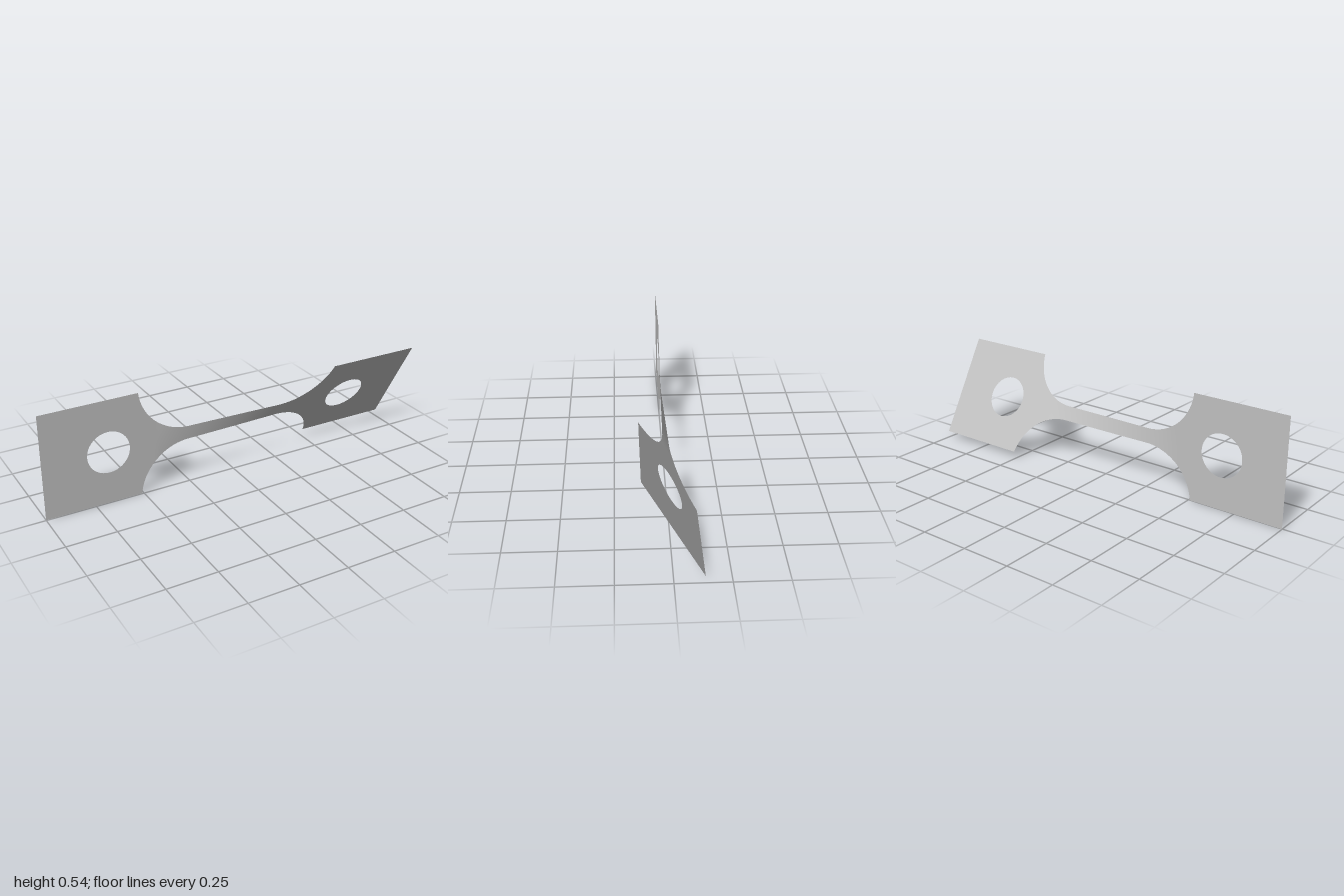
import * as THREE from 'three';

const HALF = 0.271;       // half height of the end plates
const NECK = 0.037;       // half height of the neck
const MID = 0.272;        // height of the long axis
const R = 0.26;           // fillet radius
const X0 = 0.25;          // where the fillets begin
const T_MAX = Math.acos((R - (HALF - NECK)) / R);
const X1 = X0 + R * Math.sin(T_MAX); // where the plates begin

// Twist angle about the long axis: flat left end, steady twist, tilted right end
function twist(x) {
  const t = THREE.MathUtils.clamp((x + 0.42) / 0.77, 0, 1);
  return THREE.MathUtils.degToRad(0.7 + 28.8 * t);
}

function applyTwist(geometry) {
  const p = geometry.attributes.position;
  for (let i = 0; i < p.count; i++) {
    const x = p.getX(i), y = p.getY(i), a = twist(x);
    p.setXYZ(i, x, MID + y * Math.cos(a), y * Math.sin(a));
  }
  geometry.computeVertexNormals();
  return geometry;
}

// Square end plate with a round hole
function endPlate(side) {
  const a = Math.min(side * X1, side), b = Math.max(side * X1, side);
  const shape = new THREE.Shape();
  shape.moveTo(a, -HALF).lineTo(b, -HALF).lineTo(b, HALF).lineTo(a, HALF).closePath();
  const hole = new THREE.Path();
  hole.absarc(side * 0.67, 0, 0.108, 0, Math.PI * 2, true);
  shape.holes.push(hole);
  return applyTwist(new THREE.ShapeGeometry(shape, 32));
}

// Twisted neck with fillets, from [x, half height] stations
function neck() {
  const right = [];
  const n = 24;
  for (let i = 0; i < 16; i++) right.push([X0 * i / 16, NECK]);
  for (let i = 0; i <= n; i++) {
    const t = T_MAX * i / n;
    right.push([X0 + R * Math.sin(t), NECK + R * (1 - Math.cos(t))]);
  }
  const left = right.slice(1).reverse().map(([x, h]) => [-x, h]);
  const stations = [...left, ...right];
  const cols = stations.length, rows = 8;
  const g = new THREE.PlaneGeometry(2, 2, cols - 1, rows);
  const p = g.attributes.position;
  for (let i = 0; i < p.count; i++) {
    const [x, h] = stations[i % cols];
    p.setXY(i, x, p.getY(i) * h);
  }
  return applyTwist(g);
}

export function createModel() {
  const metal = new THREE.MeshStandardMaterial({ color: 0xbfbfbf });
  metal.name = 'light grey';
  metal.side = THREE.DoubleSide;

  const group = new THREE.Group();
  group.name = 'twistedStrip';
  const add = (name, geometry) => {
    const mesh = new THREE.Mesh(geometry, metal);
    mesh.name = name;
    group.add(mesh);
  };
  add('rightEndPlate', endPlate(-1));
  add('leftEndPlate', endPlate(1));
  add('twistedNeck', neck());
  return group;
}
